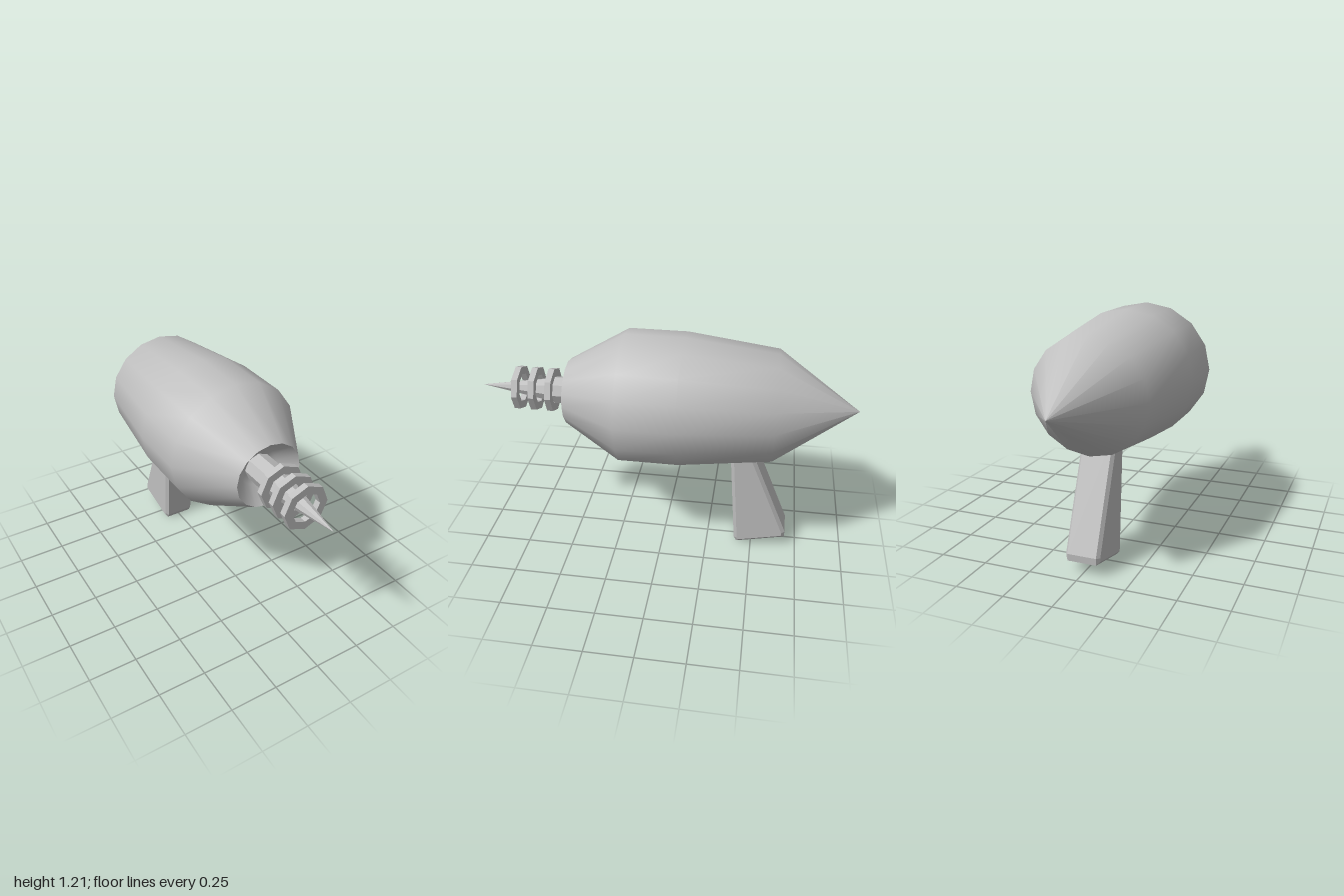
import * as THREE from 'three';

const AXIS_Y = 0.86;

// Lathe a [radius, z] profile around the long axis (z)
function latheZ(profile, sides) {
  const points = profile.map(([r, z]) => new THREE.Vector2(r, z));
  return new THREE.LatheGeometry(points, sides).rotateX(Math.PI / 2);
}

export function createModel() {
  const group = new THREE.Group();
  const grey = new THREE.MeshStandardMaterial({ color: 0xc0c0c0 });
  grey.name = 'grey';
  const flatGrey = grey.clone();
  flatGrey.flatShading = true;

  const add = (name, geometry, material, y = 0) => {
    const mesh = new THREE.Mesh(geometry, material);
    mesh.name = name;
    mesh.position.y = y;
    group.add(mesh);
    return mesh;
  };

  // Smooth pointed body, and the dished recess at its front
  const body = latheZ([[0, -1], [0.303, -0.575], [0.363, -0.1], [0.363, 0.21], [0.18, 0.515]], 16);
  add('body', body.scale(1, 0.96, 1), grey, AXIS_Y);
  const recess = latheZ([[0.18, 0.515], [0.1, 0.43], [0, 0.4]], 16);
  add('muzzleRecess', recess.scale(1, 0.96, 1), grey, AXIS_Y);

  // Faceted barrel: collar and needle
  add('barrelCollar', latheZ([[0.074, 0.4], [0.074, 0.595], [0, 0.595]], 8), flatGrey, AXIS_Y);
  add('barrelNeedle', latheZ([[0.069, 0.59], [0, 1]], 8), flatGrey, AXIS_Y);

  // Three octagonal rings around the needle
  for (const z of [0.61, 0.7, 0.79]) {
    const a = z - 0.016, b = z + 0.016;
    const ring = latheZ([[0.077, a], [0.12, a], [0.12, b], [0.077, b], [0.077, a]], 8);
    add('barrelRing', ring, flatGrey, AXIS_Y);
  }

  // Chamfered, flared grip; profile is [-z, y]
  const profile = [[0.356, 0.66], [0.405, 0.03], [0.42, 0.003], [0.685, 0.064], [0.687, 0.1], [0.455, 0.66]];
  const shape = new THREE.Shape(profile.map(([u, v]) => new THREE.Vector2(u, v)));
  const grip = new THREE.ExtrudeGeometry(shape, {
    depth: 0.15, bevelEnabled: true, bevelThickness: 0.015,
    bevelSize: 0.018, bevelOffset: -0.018, bevelSegments: 1,
  });
  grip.translate(0, 0, -0.075).rotateY(Math.PI / 2);
  add('grip', grip, flatGrey);

  return group;
}
